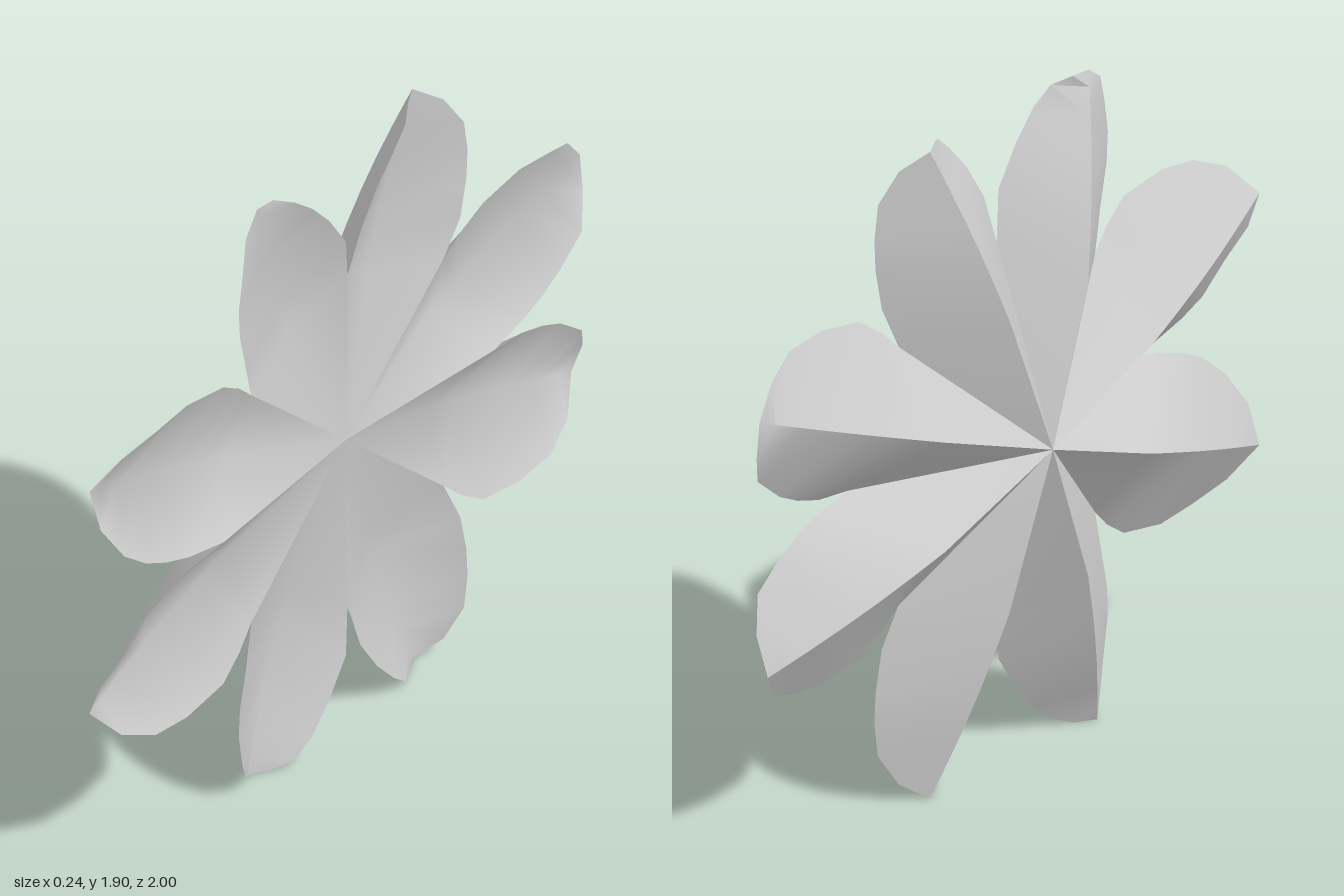
import * as THREE from 'three';
import { mergeVertices, toCreasedNormals } from 'three/addons/utils/BufferGeometryUtils.js';

const CENTRE_Y = 0.95;

// Points are [z, y offset, x]. Each rim runs from the notch to just before the tip.
const steepPetal = {
  fold: [0.16, 0.43],
  tip: [0.34, 0.95],
  rims: [
    [[0, 0.55, 0.08], [0.03, 0.69, 0.1], [0.1, 0.8, 0.1], [0.17, 0.88, 0.1], [0.23, 0.93, 0.09], [0.28, 0.95, 0.055]],
    [[0.4, 0.38, 0.08], [0.445, 0.5, 0.1], [0.47, 0.62, 0.1], [0.475, 0.71, 0.1], [0.46, 0.81, 0.1], [0.41, 0.9, 0.07]],
  ],
};
const flatPetal = {
  fold: [0.42, 0.16],
  tip: [1, 0.37],
  rims: [
    [[0.4, 0.38, 0.08], [0.46, 0.44, 0.09], [0.54, 0.495, 0.1], [0.69, 0.52, 0.1], [0.82, 0.505, 0.1], [0.925, 0.46, 0.07]],
    [[0.56, 0, 0.12], [0.69, 0.02, 0.11], [0.78, 0.05, 0.105], [0.86, 0.09, 0.1], [0.95, 0.165, 0.1], [1, 0.26, 0.06]],
  ],
};

// Inner face: shallow and smooth. Outer face: deep, with a sharp midrib.
const layers = [
  { name: 'InnerFace', centreX: 0.075, foldX: 0.01, facing: 1 },
  { name: 'OuterFace', centreX: -0.12, foldX: -0.105, facing: -1 },
];

// A petal face is a V-shaped sheet: two rims joined to a midrib, row by row.
function petalGeometry({ fold, tip, rims }, { centreX, foldX, facing }, tipX, sz, sy) {
  const centre = [0, 0, centreX];
  const end = [...tip, tipX];
  const rows = [[centre, centre, centre]];
  [0, 0.2, 0.4, 0.6, 0.78, 0.92].forEach((t, i) => {
    const rib = [...fold, foldX].map((v, k) => v + (end[k] - v) * t);
    rib[2] -= 0.012 * Math.sin(Math.PI * t);
    rows.push([rims[0][i], rib, rims[1][i]]);
  });
  rows.push([end, end, end]);

  const positions = rows.flat().flatMap(([z, y, x]) => [x, CENTRE_Y + sy * y, sz * z]);
  const index = [];
  const addTriangle = (a, b, c) => index.push(...(sz * sy * facing > 0 ? [a, b, c] : [a, c, b]));
  const last = rows.length - 2;
  // The first row closes on the centre, the last on the tip.
  for (let i = 0; i <= last; i++) {
    for (let j = 0; j < 2; j++) {
      const a = i * 3 + j, b = a + 3;
      if (i < last) addTriangle(a, b, b + 1);
      if (i > 0) addTriangle(a, b + 1, a + 1);
    }
  }
  const geometry = new THREE.BufferGeometry();
  geometry.setAttribute('position', new THREE.Float32BufferAttribute(positions, 3));
  geometry.setIndex(index);
  if (facing < 0) return toCreasedNormals(geometry, 0.55);
  const smooth = mergeVertices(geometry);
  smooth.computeVertexNormals();
  return smooth;
}

export function createModel() {
  const flower = new THREE.Group();
  flower.name = 'flower';
  const material = new THREE.MeshStandardMaterial({ color: 0xcccccc, side: THREE.DoubleSide });

  // Two petal shapes mirrored into four quarters
  for (const sy of [1, -1]) {
    for (const sz of [1, -1]) {
      for (const [kind, shape] of [['Steep', steepPetal], ['Flat', flatPetal]]) {
        const petal = new THREE.Group();
        petal.name = `${sy > 0 ? 'upper' : 'lower'}${sz > 0 ? 'Front' : 'Back'}${kind}Petal`;
        // Two of the upper petals have a tip that curls further forward
        const curled = sy > 0 && (kind === 'Steep') === (sz > 0);
        for (const layer of layers) {
          const face = new THREE.Mesh(petalGeometry(shape, layer, curled ? 0.05 : 0.02, sz, sy), material);
          face.name = petal.name + layer.name;
          petal.add(face);
        }
        flower.add(petal);
      }
    }
  }
  return flower;
}
